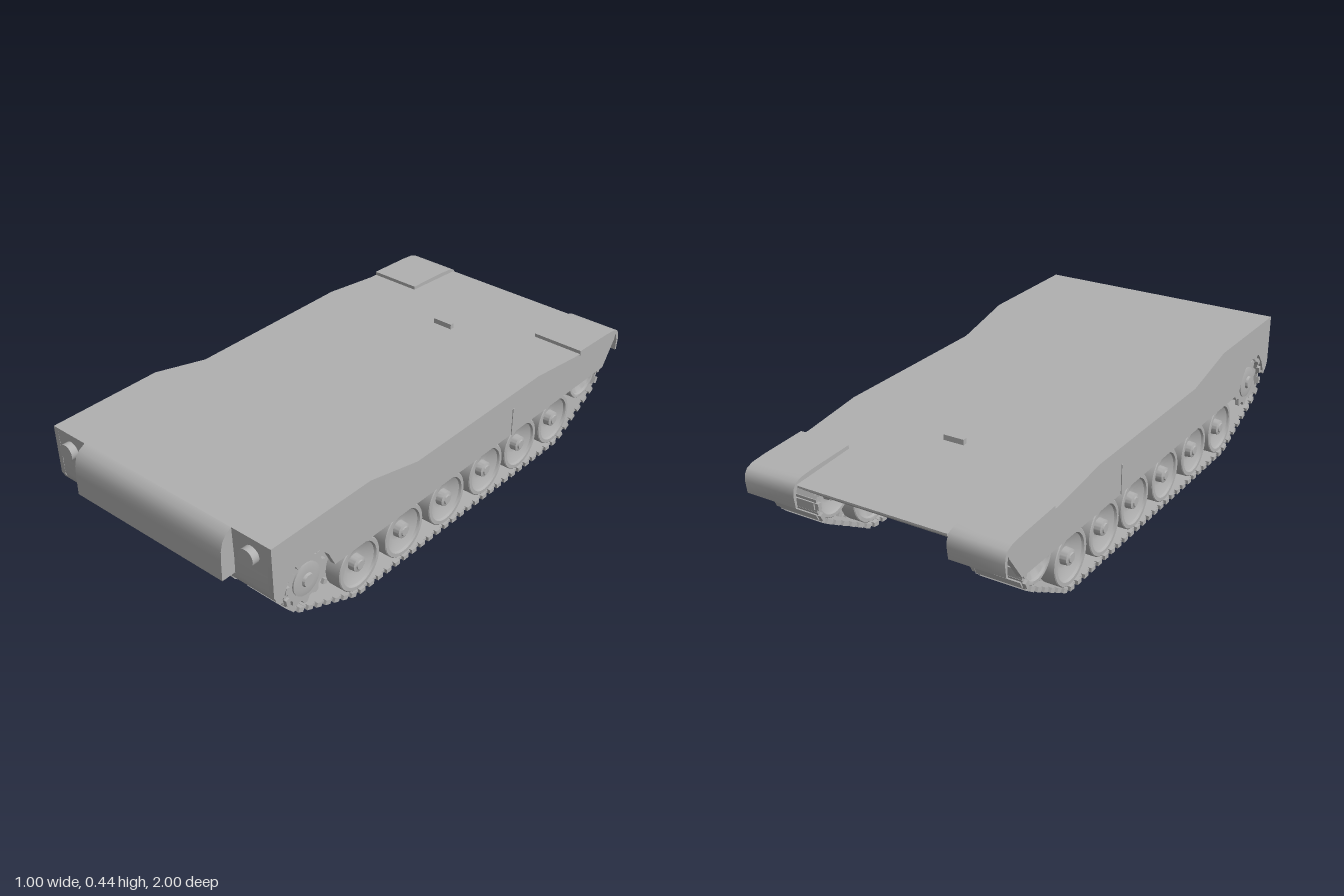
import * as THREE from 'three';
import { mergeGeometries, toCreasedNormals } from 'three/addons/utils/BufferGeometryUtils.js';

const paint = new THREE.MeshStandardMaterial({ color: 0xb0b0b0 });
paint.name = 'plain grey';

// Solid from a side outline of [z, y] points, spanning x0..x1
function slab(points, x0, x1) {
  const shape = new THREE.Shape(points.map(([z, y]) => new THREE.Vector2(z, y)));
  const geo = new THREE.ExtrudeGeometry(shape, { depth: x1 - x0, bevelEnabled: false });
  geo.rotateY(-Math.PI / 2).translate(x1, 0, 0);
  return toCreasedNormals(geo, 0.6);
}

function box(w, h, d, x, y, z) {
  return new THREE.BoxGeometry(w, h, d).translate(x, y, z);
}

function add(parent, name, geo) {
  const mesh = new THREE.Mesh(geo, paint);
  mesh.name = name;
  parent.add(mesh);
  return mesh;
}

// Turned disc: [radius, offset] profile around the x axis, dir = facing side
function disc(profile, dir, x, y, z, sides = 32) {
  const geo = new THREE.LatheGeometry(profile.map(([r, o]) => new THREE.Vector2(r, o)), sides);
  return toCreasedNormals(geo.rotateZ(-dir * Math.PI / 2).translate(x, y, z), 0.6);
}

// Taut loop around circles [z, y, r], from the convex hull of their points
function tautLoop(circles) {
  const pts = [];
  for (const [z, y, r] of circles)
    for (let i = 0; i < 48; i++) {
      const a = i / 48 * Math.PI * 2;
      pts.push([z + r * Math.cos(a), y + r * Math.sin(a)]);
    }
  pts.sort((a, b) => a[0] - b[0] || a[1] - b[1]);
  const half = list => {
    const out = [];
    for (const p of list) {
      while (out.length > 1) {
        const [a, b] = out.slice(-2);
        if ((b[0] - a[0]) * (p[1] - a[1]) - (b[1] - a[1]) * (p[0] - a[0]) > 1e-9) break;
        out.pop();
      }
      out.push(p);
    }
    return out.slice(0, -1);
  };
  const ring = [...half(pts), ...half([...pts].reverse())];
  const path = new THREE.CurvePath();
  ring.forEach(([z, y], i) => {
    const [z2, y2] = ring[(i + 1) % ring.length];
    path.add(new THREE.LineCurve3(new THREE.Vector3(0, y, z), new THREE.Vector3(0, y2, z2)));
  });
  return path;
}

const DECK = [[-0.98, 0.335], [-0.68, 0.355], [-0.44, 0.385], [0.26, 0.385], [0.5, 0.44], [0.95, 0.44]];
const WHEELS = [0.535, 0.305, 0.07, -0.16, -0.375, -0.595];
const WHEEL_Y = 0.117;
const SPROCKET = [0.785, 0.215], IDLER = [-0.79, 0.21];

const wheelProfile = [[0, -0.06], [0.1, -0.06], [0.1, -0.003], [0.097, 0], [0.084, 0], [0.08, -0.008],
  [0.045, -0.026], [0.03, -0.026], [0.028, -0.002], [0.018, 0.001], [0.016, 0.005], [0, 0.005]];

// Wheels, sprocket, idler and track on the +x side
function runningGear() {
  const group = new THREE.Group();
  WHEELS.forEach(z => {
    add(group, 'outerRoadWheel', disc(wheelProfile, 1, 0.485, WHEEL_Y, z));
    add(group, 'innerRoadWheel', disc(wheelProfile, -1, 0.312, WHEEL_Y, z));
    add(group, 'wheelAxle', box(0.14, 0.04, 0.04, 0.35, WHEEL_Y, z));
  });
  const small = wheelProfile.map(([r, o]) => [r * 0.85, o]);
  add(group, 'idlerWheel', disc(small, 1, 0.48, IDLER[1], IDLER[0]));
  add(group, 'idlerInnerWheel', disc(small, -1, 0.315, IDLER[1], IDLER[0]));

  // Sprocket: two toothed rings and a hub
  const gear = new THREE.Shape();
  for (let i = 0; i < 44; i++) {
    const a = (i + 0.5) / 44 * Math.PI * 2, r = i % 4 < 2 ? 0.098 : 0.082;
    gear[i ? 'lineTo' : 'moveTo'](r * Math.cos(a), r * Math.sin(a));
  }
  for (const x of [0.32, 0.462]) {
    const ring = new THREE.ExtrudeGeometry(gear, { depth: 0.015, bevelEnabled: false });
    add(group, 'sprocketRing', ring.rotateY(-Math.PI / 2).translate(x + 0.015, SPROCKET[1], SPROCKET[0]));
  }
  add(group, 'sprocketHub', disc([[0, -0.2], [0.06, -0.2], [0.06, 0], [0.045, 0.003], [0.025, 0.003],
    [0.022, 0.012], [0, 0.012]], 1, 0.482, SPROCKET[1], SPROCKET[0]));

  // Track links with a raised pad and end connectors
  const path = tautLoop([[...SPROCKET, 0.1], [WHEELS[0], WHEEL_Y, 0.107],
    [WHEELS[5], WHEEL_Y, 0.107], [...IDLER, 0.092]]);
  const count = 84, links = [];
  const step = path.getLength() / count;
  for (let i = 0; i < count; i++) {
    const p = path.getPointAt(i / count), t = path.getTangentAt(i / count);
    const link = mergeGeometries([
      box(0.18, 0.01, step * 1.08, 0.395, 0, 0),
      box(0.165, 0.006, step * 0.6, 0.395, -0.007, 0),
      box(0.014, 0.016, step * 0.55, 0.302, 0, 0),
      box(0.014, 0.016, step * 0.55, 0.488, 0, 0),
      box(0.012, 0.022, step * 0.4, 0.396, 0.013, 0)
    ]);
    // Counter-clockwise in (z, y): outward is to the right of travel
    link.rotateX(-Math.atan2(t.y, t.z)).translate(0, p.y, p.z);
    links.push(link);
  }
  add(group, 'track', mergeGeometries(links));
  return group;
}

// Skirt, mudguard, rear fender and lamp on the +x side
function sideFittings() {
  const group = new THREE.Group();
  add(group, 'sideSkirt', slab([...DECK, [0.945, 0.25], [0.93, 0.225], [0.905, 0.225], [0.885, 0.27],
    [0.85, 0.312], [0.74, 0.312], [0.7, 0.27], [0.67, 0.21], [-0.905, 0.21], [-0.975, 0.31]], 0.478, 0.498));
  add(group, 'skirtSeam', box(0.004, 0.11, 0.008, 0.499, 0.265, -0.29));
  add(group, 'frontMudguard', slab([[0.945, 0.33], [0.945, 0.26], [0.936, 0.23], [0.915, 0.208],
    [0.908, 0.215], [0.925, 0.24], [0.93, 0.33]], 0.285, 0.497));
  add(group, 'rearFender', slab([[-0.72, 0.345], [-0.72, 0.366], [-0.9, 0.358], [-0.96, 0.352], [-0.985, 0.342],
    [-0.997, 0.325], [-1, 0.3], [-0.994, 0.255], [-0.986, 0.255], [-0.988, 0.3],
    [-0.98, 0.325], [-0.95, 0.335]], 0.295, 0.5));
  const lamp = new THREE.CylinderGeometry(0.031, 0.031, 0.04, 28).rotateX(Math.PI / 2);
  add(group, 'frontLamp', lamp.translate(0.415, 0.38, 0.955));
  return group;
}

export function createModel() {
  const model = new THREE.Group();
  model.name = 'trackedHull';

  // Full-width upper hull and narrow lower tub
  add(model, 'upperHull', slab([...DECK, [0.945, 0.322], [-0.955, 0.322]], -0.495, 0.495));
  add(model, 'lowerHull', slab([[0.94, 0.33], [0.945, 0.265], [0.932, 0.225], [0.905, 0.185], [0.86, 0.15],
    [0.79, 0.128], [0.72, 0.125], [-0.55, 0.125], [-0.65, 0.138], [-0.75, 0.17],
    [-0.86, 0.235], [-0.985, 0.328], [-0.985, 0.335], [-0.9, 0.34]], -0.288, 0.288));

  // Bulging nose panel
  add(model, 'nosePanel', slab([[0.94, 0.44], [0.95, 0.44], [0.975, 0.425], [0.99, 0.405], [0.998, 0.375],
    [1, 0.34], [1, 0.263], [0.94, 0.263]], -0.34, 0.335));

  // Small handle on the rear deck
  add(model, 'deckHandle', box(0.08, 0.02, 0.018, 0, 0.385, -0.53));

  // Both sides: x is negated and the face order flipped for the right one
  for (const make of [runningGear, sideFittings]) {
    const left = make(), right = new THREE.Group();
    left.name = 'left' + make.name;
    right.name = 'right' + make.name;
    for (const mesh of left.children) {
      const geo = (mesh.geometry.index ? mesh.geometry.toNonIndexed() : mesh.geometry.clone());
      geo.scale(-1, 1, 1);
      for (const key of ['position', 'normal']) {
        const a = geo.attributes[key];
        for (let i = 0; i < a.count; i += 3) {
          const b = [a.getX(i + 1), a.getY(i + 1), a.getZ(i + 1)];
          a.setXYZ(i + 1, a.getX(i + 2), a.getY(i + 2), a.getZ(i + 2));
          a.setXYZ(i + 2, ...b);
        }
      }
      add(right, mesh.name, geo);
    }
    model.add(left, right);
  }
  return model;
}
